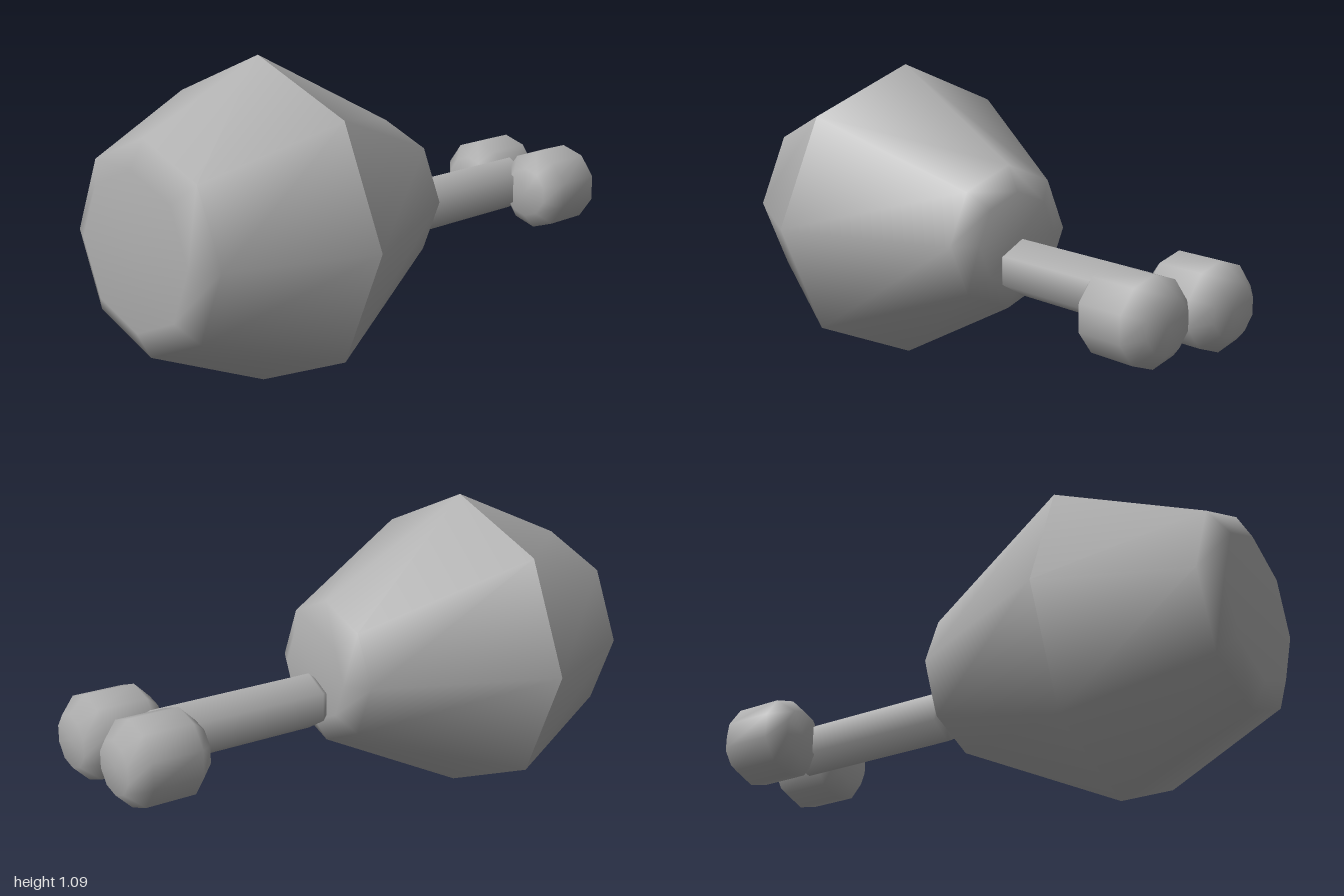
import * as THREE from 'three';

// Low-sided turned solid along +x; profile is [x, radius] pairs, one corner points up
function turned(name, profile, sides, material, y, z = 0) {
  const points = profile.map(([x, r]) => new THREE.Vector2(r, x));
  const geometry = new THREE.LatheGeometry(points, sides, Math.PI / 2, Math.PI * 2);
  geometry.rotateZ(-Math.PI / 2);
  const mesh = new THREE.Mesh(geometry, material);
  mesh.name = name;
  mesh.position.set(0, y, z);
  return mesh;
}

export function createModel() {
  const group = new THREE.Group();
  group.name = 'drumstick';
  const grey = new THREE.MeshStandardMaterial({ color: 0xb0b0b0 });
  grey.name = 'plain grey';

  // Meat: two halves meeting at a sharp ridge
  group.add(turned('meatBulbEnd',
    [[-1, 0], [-1, 0.255], [-0.95, 0.345], [-0.49, 0.543]], 8, grey, 0.543));
  group.add(turned('meatBoneEnd',
    [[-0.49, 0.543], [0.1, 0.25], [0.15, 0.165], [0.15, 0]], 8, grey, 0.543));

  // Bone shaft with bevelled ends
  group.add(turned('boneShaft',
    [[0.14, 0], [0.14, 0.07], [0.175, 0.098], [0.79, 0.098], [0.82, 0.07], [0.82, 0]],
    6, grey, 0.452));

  // Pair of bevelled knuckles at the bone tip
  for (const side of [-1, 1]) {
    group.add(turned(side > 0 ? 'frontKnuckle' : 'backKnuckle',
      [[0.71, 0], [0.71, 0.09], [0.767, 0.145], [0.943, 0.145], [1, 0.09], [1, 0]],
      10, grey, 0.451, side * 0.141));
  }
  return group;
}
